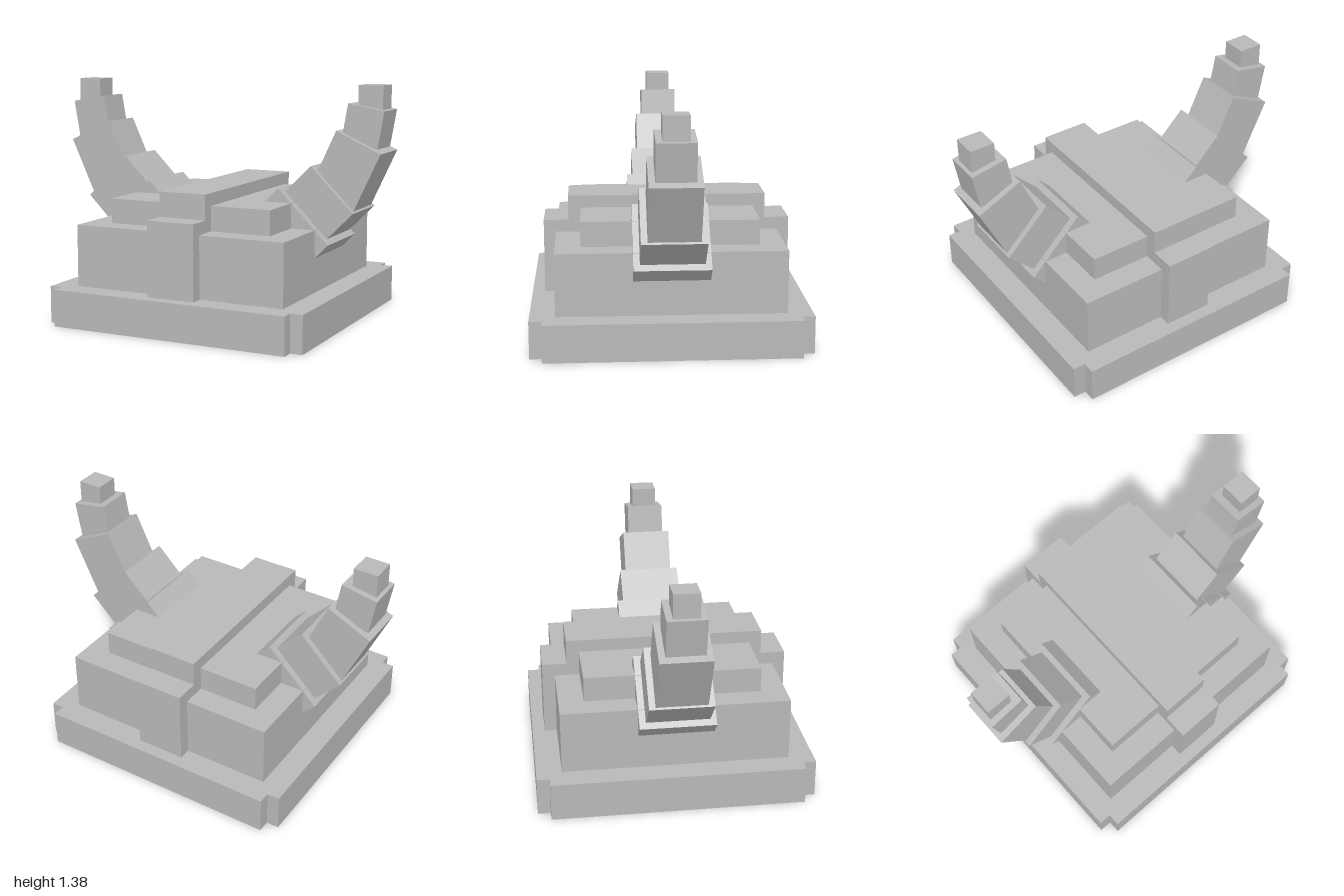
import * as THREE from 'three';

export function createModel() {
  const model = new THREE.Group();
  model.name = 'hornedHelmet';
  const iron = new THREE.MeshStandardMaterial({ color: 0xb8b8b8, side: THREE.DoubleSide });
  iron.name = 'iron grey';
  const u = 1 / 14; // block unit

  const add = (parent, name, geometry) => {
    const mesh = new THREE.Mesh(geometry, iron);
    mesh.name = name;
    parent.add(mesh);
    return mesh;
  };
  // box from half width, half depth and a y range, centred at depth z
  const block = (name, hx, hz, y0, y1, z = 0) =>
    add(model, name, new THREE.BoxGeometry(2 * hx, y1 - y0, 2 * hz).translate(0, (y0 + y1) / 2, z));
  // outline extruded upward around the square head opening
  const ring = (name, points, y0, y1) => {
    const shape = new THREE.Shape(points.map(([x, y]) => new THREE.Vector2(x * u, y * u)));
    const h = 8 * u;
    shape.holes.push(new THREE.Path([[-h, -h], [-h, h], [h, h], [h, -h]].map(([x, y]) => new THREE.Vector2(x, y))));
    const geometry = new THREE.ExtrudeGeometry(shape, { depth: y1 - y0, bevelEnabled: false });
    add(model, name, geometry.rotateX(-Math.PI / 2).translate(0, y0, 0));
  };

  // brim with notched corners
  ring('brim', [[-10, -11], [10, -11], [10, -10], [11, -10], [11, 10], [10, 10],
    [10, 11], [-10, 11], [-10, 10], [-11, 10], [-11, -10], [-10, -10]], 0, 3 * u);

  // hollow dome with stepped crown
  const ceiling = 6.5 * u;
  ring('domeWall', [[-9, -9], [9, -9], [9, 9], [-9, 9]], 3 * u, ceiling);
  block('domeTop', 9 * u, 9 * u, ceiling, 8 * u);
  block('crown', 7 * u, 7 * u, 8 * u, 10 * u);

  // ridge over the top, front and back
  block('topRidge', 2 * u, 8 * u, 8 * u, 11 * u);
  block('frontRidge', 2 * u, u, 3 * u, 9 * u, 9 * u);
  block('backRidge', 2 * u, u, 3 * u, 9 * u, -9 * u);

  // horn blocks: outer face centre x, y, lean in degrees, width, length
  const segments = [
    [0.57, 0.642, 45, 6 * u, 3 * u],
    [0.726, 0.798, 45, 5 * u, 3 * u],
    [0.865, 1.065, 25, 4 * u, 5 * u],
    [0.895, 1.256, 10, 3 * u, 3 * u],
    [0.908, 1.375, 0, 2 * u, 0.14],
  ];
  for (const side of [1, -1]) {
    const horn = new THREE.Group();
    horn.name = side > 0 ? 'leftHorn' : 'rightHorn';
    segments.forEach(([x, y, lean, width, length], i) => {
      const geometry = new THREE.BoxGeometry(width, length, width).translate(0, -length / 2, 0);
      if (i === 0) {
        // root is open toward the inside of the dome
        const index = Array.from(geometry.index.array);
        index.splice(18, 6);
        geometry.setIndex(index);
        geometry.clearGroups();
      }
      const mesh = add(horn, 'hornSegment' + (i + 1), geometry);
      mesh.position.set(side * x, y, 0);
      mesh.rotation.z = -side * THREE.MathUtils.degToRad(lean);
    });
    model.add(horn);
  }
  return model;
}
